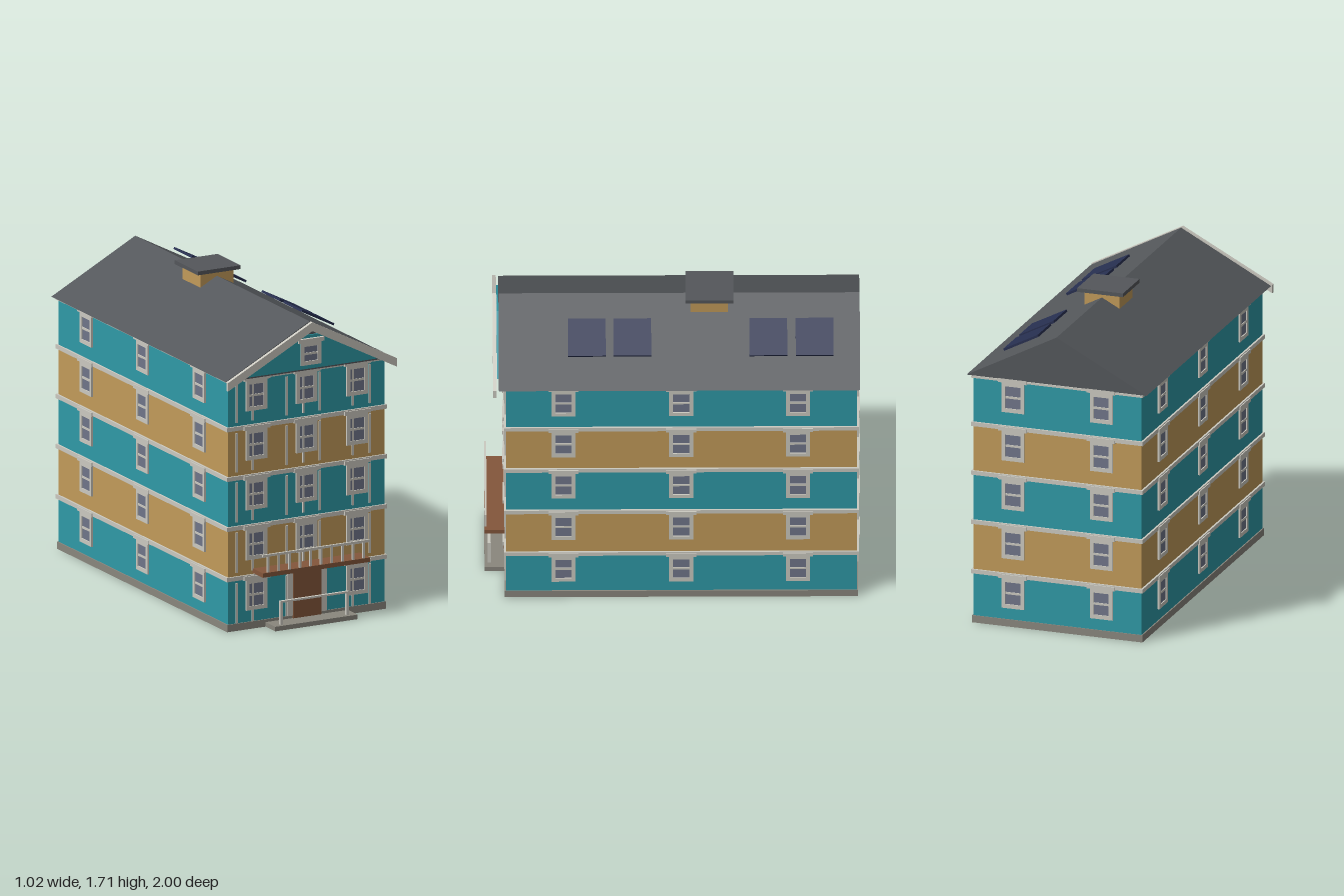
import * as THREE from 'three';

const mat = (name, color) => {
  const m = new THREE.MeshStandardMaterial({ color });
  m.name = name;
  return m;
};

export function createModel() {
  const teal = mat('teal wall', 0x2f9aa7), ochre = mat('ochre wall', 0xc29b5a);
  const cream = mat('cream trim', 0xcccac1), slate = mat('slate roof', 0x54575b);
  const stone = mat('stone', 0x8a877e), wood = mat('brown wood', 0x84573b);
  const navy = mat('solar navy', 0x272f50), glassMat = mat('glass', 0x70768a);

  const model = new THREE.Group();
  model.name = 'townHouse';

  // Box given by its lower and upper limits on each axis
  const box = (name, m, x0, x1, y0, y1, z0, z1, parent = model) => {
    const mesh = new THREE.Mesh(new THREE.BoxGeometry(x1 - x0, y1 - y0, z1 - z0), m);
    mesh.position.set((x0 + x1) / 2, (y0 + y1) / 2, (z0 + z1) / 2);
    mesh.name = name;
    parent.add(mesh);
    return mesh;
  };
  // Outline in x and y, extruded from z0 to z1
  const slab = (name, m, points, z0, z1, hole) => {
    const shape = new THREE.Shape(points.map(p => new THREE.Vector2(...p)));
    if (hole) shape.holes.push(new THREE.Path(hole.map(p => new THREE.Vector2(...p))));
    const geo = new THREE.ExtrudeGeometry(shape, { depth: z1 - z0, bevelEnabled: false });
    const mesh = new THREE.Mesh(geo, m);
    mesh.position.z = z0;
    mesh.name = name;
    return mesh;
  };
  const rect = (w, h) => [[-w, -h], [w, -h], [w, h], [-w, h]];

  // Window facing +z, centred on its frame, with its back on z = 0
  const addWindow = (x, y, z, turn, w = 0.128, h = 0.168) => {
    const g = new THREE.Group();
    g.name = 'window';
    const gw = w / 2 - 0.021, gh = h / 2 - 0.022;
    g.add(slab('windowFrame', cream, rect(w / 2, h / 2), 0, 0.01, rect(gw, gh)));
    box('windowGlass', glassMat, -gw, gw, -gh, gh, 0, 0.004, g);
    box('windowBar', cream, -gw, gw, -0.006, 0.006, 0, 0.008, g);
    box('windowLintel', cream, -w / 2 - 0.016, w / 2 + 0.016, h / 2, h / 2 + 0.022, 0, 0.017, g);
    g.position.set(x, y, z);
    g.rotation.y = turn;
    model.add(g);
  };

  // Plinth and entrance step
  box('plinth', stone, -0.482, 0.482, 0, 0.04, -0.985, 0.893);
  box('entranceStep', stone, -0.25, 0.25, 0, 0.025, 0.893, 1.0);

  // Five storeys in alternating colours
  const levels = [0.04, 0.288, 0.566, 0.842, 1.116, 1.388];
  for (let i = 0; i < 5; i++) {
    const y0 = levels[i], y1 = levels[i + 1];
    box('storeyWall', i % 2 ? ochre : teal, -0.475, 0.475, y0, y1, -0.98, 0.887);
    const top = i === 4;
    box('floorTrim', cream, -0.486, 0.486, y1 - (top ? 0.012 : 0.011), y1 + (top ? 0 : 0.012), -0.991, 0.897);

    const wy = y1 - 0.1;
    for (const x of [-0.305, 0, 0.305]) {
      if (i === 0 && x === 0) continue;
      addWindow(x, wy, 0.887, 0);
    }
    for (const x of [-0.25, 0.25]) addWindow(x, wy, -0.98, Math.PI);
    for (const z of [0.58, -0.045, -0.665]) {
      addWindow(0.475, wy, z, Math.PI / 2);
      addWindow(-0.475, wy, z, -Math.PI / 2);
    }

    // Narrow vertical battens on the front
    for (const x of [-0.422, -0.325, -0.12, -0.018, 0.08, 0.282, 0.384]) {
      const low = i === 0 ? 0.042 : y0 + 0.032;
      if (i === 0 && Math.abs(x) < 0.1) continue;
      box('frontBatten', cream, x - 0.006, x + 0.006, low, y1 - 0.025, 0.887, 0.893);
    }
  }

  // Door with side posts
  box('door', wood, -0.085, 0.085, 0.025, 0.298, 0.887, 0.9);
  for (const s of [-1, 1]) {
    box('doorPost', cream, s * 0.102 - 0.017, s * 0.102 + 0.017, 0.04, 0.296, 0.887, 0.898);
    box('stepRailPost', cream, s * 0.2 - 0.008, s * 0.2 + 0.008, 0.025, 0.148, 0.966, 0.982);
  }
  box('stepHandrail', cream, -0.208, 0.208, 0.146, 0.156, 0.966, 0.982);

  // Balcony over the door
  box('balconyFloor', wood, -0.325, 0.325, 0.306, 0.33, 0.887, 1.0);
  box('balconyRail', cream, -0.325, 0.325, 0.418, 0.43, 0.988, 1.0);
  for (let i = 0; i < 10; i++) {
    const x = -0.29 + i * 0.0644;
    box('balconyBaluster', cream, x - 0.006, x + 0.006, 0.33, 0.418, 0.989, 0.999);
  }

  // Roof, front gable and bargeboards
  model.add(slab('roof', slate, [[-0.51, 1.392], [0.51, 1.392], [0, 1.66]], -0.996, 0.925));
  model.add(slab('gableWall', teal, [[-0.415, 1.402], [0.415, 1.402], [0.06, 1.588], [-0.06, 1.588]], 0.925, 0.934));
  model.add(slab('bargeboards', cream,
    [[-0.512, 1.348], [0, 1.613], [0.512, 1.348], [0.512, 1.395], [0, 1.662], [-0.512, 1.395]], 0.936, 0.956));
  addWindow(0, 1.487, 0.933, 0, 0.122, 0.125);

  // Chimney and cap
  box('chimney', ochre, -0.1, 0.1, 1.58, 1.686, -0.295, -0.097);
  box('chimneyCap', slate, -0.13, 0.13, 1.686, 1.707, -0.325, -0.07);

  // Solar panels parallel to the roof slope
  for (const z of [0.455, 0.213, -0.51, -0.755]) {
    const panel = box('solarPanel', navy, -0.11, 0.11, -0.006, 0.006, -0.1, 0.1);
    panel.position.set(0.254, 1.555, z);
    panel.rotation.z = -Math.atan(0.52);
  }
  return model;
}
